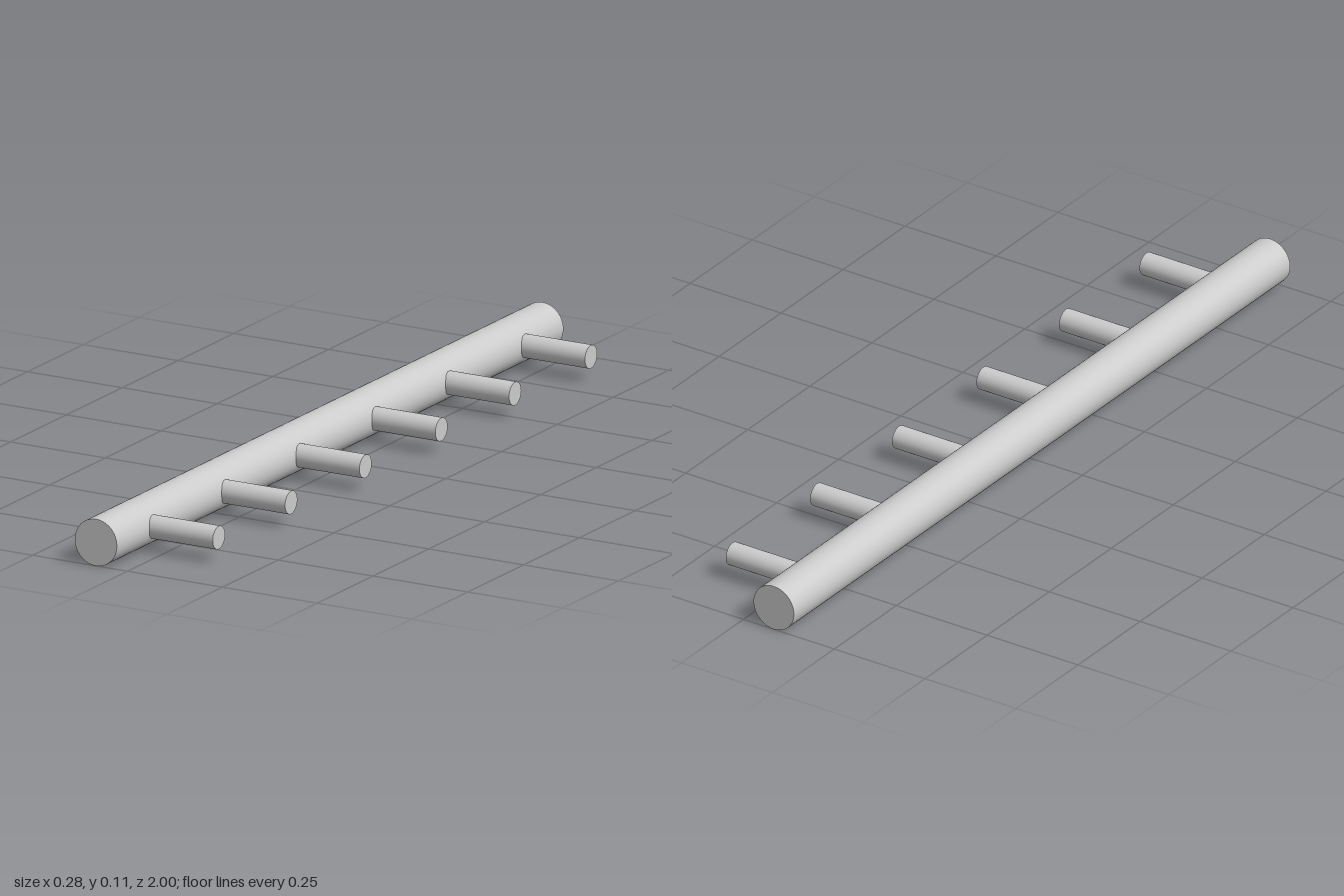
import * as THREE from 'three';

export function createModel() {
  const group = new THREE.Group();
  const material = new THREE.MeshStandardMaterial({ color: 0xcccccc });
  const railRadius = 0.0555, railX = -0.0835, pegEnd = 0.139;

  // Long round rail lying along z
  const rail = new THREE.Mesh(
    new THREE.CylinderGeometry(railRadius, railRadius, 2, 48).rotateX(Math.PI / 2), material);
  rail.name = 'rail';
  rail.position.set(railX, railRadius, 0);
  group.add(rail);

  // Row of pegs pointing to +x, rooted inside the rail
  const pegStart = railX + 0.02, pegLength = pegEnd - pegStart;
  const pegGeometry = new THREE.CylinderGeometry(0.0275, 0.0275, pegLength, 32).rotateZ(-Math.PI / 2);
  [-0.84, -0.5, -0.17, 0.17, 0.503, 0.827].forEach((z, i) => {
    const peg = new THREE.Mesh(pegGeometry, material);
    peg.name = `peg${i + 1}`;
    peg.position.set(pegStart + pegLength / 2, 0.0563, z);
    group.add(peg);
  });

  return group;
}
